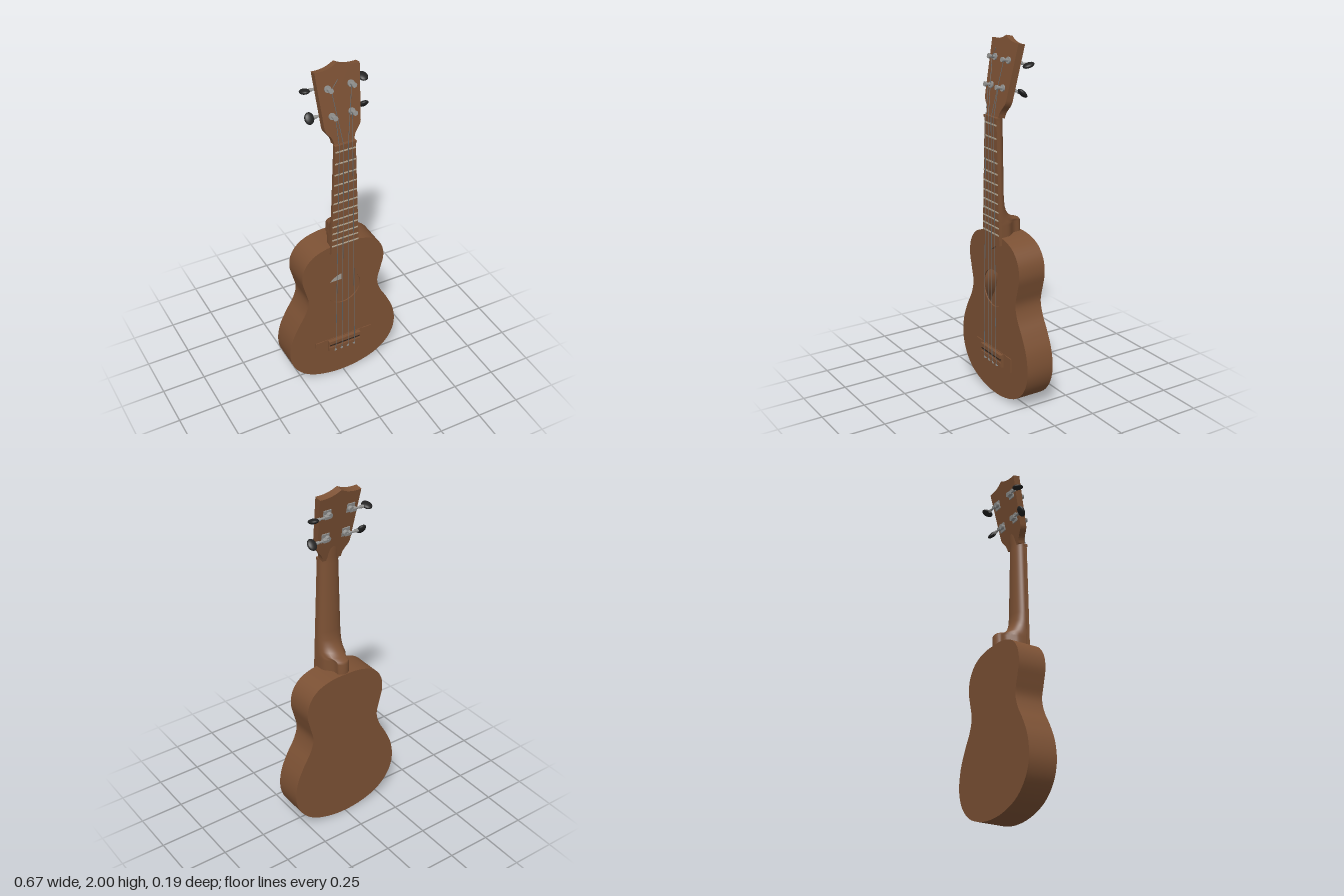
import * as THREE from 'three';
import { toCreasedNormals } from 'three/addons/utils/BufferGeometryUtils.js';

const mat = (name, color, side = THREE.FrontSide) => {
  const m = new THREE.MeshStandardMaterial({ color, side });
  m.name = name;
  return m;
};

export function createModel() {
  const wood = mat('wood', 0x7c5134);
  const darkSlot = mat('darkSlot', 0x33241b);
  const fretMetal = mat('fretMetal', 0xb8aa94);
  const steel = mat('steel', 0x939391);
  const black = mat('black', 0x222222);
  const stringGrey = mat('stringGrey', 0x6c7072);
  const paper = mat('paper', 0xa3a099, THREE.DoubleSide);

  const root = new THREE.Group();
  root.name = 'ukulele';
  const add = (parent, name, geo, material, x = 0, y = 0, z = 0) => {
    const m = new THREE.Mesh(geo, material);
    m.name = name;
    m.position.set(x, y, z);
    parent.add(m);
    return m;
  };
  const box = (w, h, d) => new THREE.BoxGeometry(w, h, d);
  const slab = (shape, depth, curveSegments = 24) =>
    toCreasedNormals(new THREE.ExtrudeGeometry(shape, { depth, bevelEnabled: false, curveSegments }), 0.5);
  // thin rod between two points
  const rod = (parent, name, a, b, r, material, sides = 6) => {
    const dir = b.clone().sub(a);
    const m = add(parent, name, new THREE.CylinderGeometry(r, r, dir.length(), sides), material);
    m.position.copy(a).addScaledVector(dir, 0.5);
    m.quaternion.setFromUnitVectors(new THREE.Vector3(0, 1, 0), dir.normalize());
    return m;
  };
  const V = (x, y, z) => new THREE.Vector3(x, y, z);

  // ---- hollow body: back, rim, and front with sound hole
  const half = [[0, 0.002], [0.12, 0.016], [0.23, 0.06], [0.303, 0.135], [0.335, 0.23], [0.323, 0.345],
    [0.28, 0.445], [0.235, 0.525], [0.215, 0.6], [0.232, 0.68], [0.25, 0.765], [0.235, 0.845],
    [0.185, 0.905], [0.1, 0.938], [0, 0.945]];
  const mirrored = half.slice(1, -1).reverse().map(([x, y]) => [-x, y]);
  const curve = new THREE.CatmullRomCurve3([...half, ...mirrored].map(([x, y]) => V(x, y, 0)), true);
  const outline = curve.getPoints(112).slice(0, -1).map((p) => new THREE.Vector2(p.x, p.y));
  const rim = new THREE.Shape(outline);
  rim.holes.push(new THREE.Path(outline.map((p) => new THREE.Vector2(p.x * 0.96, 0.45 + (p.y - 0.45) * 0.97))));
  const front = new THREE.Shape(outline);
  front.holes.push(new THREE.Path().absarc(0, 0.63, 0.105, 0, Math.PI * 2, true));
  add(root, 'bodyBack', slab(new THREE.Shape(outline), 0.008), wood, 0, 0, -0.097);
  add(root, 'bodySides', slab(rim, 0.147), wood, 0, 0, -0.089);
  add(root, 'bodyFront', slab(front, 0.007), wood, 0, 0, 0.058);
  add(root, 'insideLabel', new THREE.PlaneGeometry(0.135, 0.125), paper, 0, 0.611, -0.086);
  add(root, 'labelPatch', box(0.075, 0.03, 0.002), wood, 0, 0.652, -0.085);

  // ---- neck and heel lofted from rounded sections: [y, half width, back z, front z]
  const rows = [[0.93, 0.078, -0.094], [1.005, 0.077, -0.094], [1.016, 0.076, -0.085], [1.026, 0.076, -0.05],
    [1.045, 0.075, -0.02], [1.075, 0.074, 0.003], [1.11, 0.073, 0.015], [1.16, 0.071, 0.02],
    [1.56, 0.057, 0.022], [1.6, 0.057, 0.021], [1.64, 0.058, 0.016, 0.055], [1.7, 0.05, 0.012, 0.04]];
  const N = 32, pos = [], idx = [];
  rows.forEach(([y, w, back, frontZ = 0.064], r) => {
    for (let j = 0; j <= N; j++) {
      const t = (j / N) * Math.PI;
      const z = frontZ - (frontZ - back) * Math.sin(t);
      // the heel pinches in behind the neck
      const limit = 0.036 + 0.045 * THREE.MathUtils.smoothstep(z, -0.05, 0.03);
      pos.push(THREE.MathUtils.clamp(w * Math.cos(t), -limit, limit), y, z);
      if (r < rows.length - 1 && j < N) {
        const a = r * (N + 1) + j, c = a + N + 1;
        idx.push(a, a + 1, c, a + 1, c + 1, c);
      }
    }
  });
  const neckGeo = new THREE.BufferGeometry();
  neckGeo.setAttribute('position', new THREE.Float32BufferAttribute(pos, 3));
  neckGeo.setIndex(idx);
  neckGeo.computeVertexNormals();
  add(root, 'neckAndHeel', neckGeo, wood);

  // ---- fretboard with pointed end, nut and frets
  const fb = new THREE.Shape();
  fb.moveTo(-0.058, 1.585);
  [[-0.084, 0.9], [-0.035, 0.885], [0, 0.858], [0.035, 0.885], [0.084, 0.9], [0.058, 1.585]]
    .forEach(([x, y]) => fb.lineTo(x, y));
  add(root, 'fretboard', slab(fb, 0.018), wood, 0, 0, 0.064);
  add(root, 'nut', box(0.122, 0.014, 0.023), wood, 0, 1.582, 0.0745);
  for (let i = 0; i < 12; i++) {
    const y = 0.29 + 1.26 * Math.pow(2, -i / 12);
    const w = 0.058 + ((1.585 - y) / 0.685) * 0.026;
    add(root, 'fret', box(w * 2 - 0.004, 0.008, 0.004), fretMetal, 0, y, 0.082);
  }

  // ---- headstock, tilted back
  const head = new THREE.Group();
  head.name = 'headstock';
  head.position.set(0, 1.6, 0.068);
  head.rotation.x = -0.2;
  root.add(head);
  const hs = new THREE.Shape();
  hs.moveTo(-0.057, -0.01);
  hs.bezierCurveTo(-0.062, 0.045, -0.1, 0.045, -0.102, 0.09);
  hs.lineTo(-0.124, 0.381);
  hs.quadraticCurveTo(-0.05, 0.375, 0, 0.408);
  hs.quadraticCurveTo(0.05, 0.375, 0.124, 0.381);
  hs.lineTo(0.102, 0.09);
  hs.bezierCurveTo(0.1, 0.045, 0.062, 0.045, 0.057, -0.01);
  add(head, 'headPlate', slab(hs, 0.04), wood, 0, 0, -0.04);

  // ---- tuners: post, collar, gear, shaft and button
  const alongZ = (r, h) => new THREE.CylinderGeometry(r, r, h, 16).rotateX(Math.PI / 2);
  const tuner = (s, px, y, bx, turn) => {
    const t = new THREE.Group();
    t.name = 'tuner';
    head.add(t);
    add(t, 'collar', alongZ(0.018, 0.008), steel, s * px, y, 0.004);
    add(t, 'post', alongZ(0.008, 0.085), steel, s * px, y, 0);
    add(t, 'postCap', alongZ(0.013, 0.01), steel, s * px, y, 0.04);
    add(t, 'gearPlate', box(0.045, 0.05, 0.005), steel, s * (px + 0.008), y, -0.0425);
    add(t, 'gear', alongZ(0.015, 0.018), steel, s * px, y, -0.053);
    const sy = y - 0.004, sz = -0.056;
    add(t, 'wormHousing', box(0.03, 0.016, 0.02), steel, s * (px + 0.016), sy, sz);
    rod(t, 'shaft', V(s * px, sy, sz), V(s * (bx - 0.015), sy, sz), 0.006, steel, 10);
    rod(t, 'shaftCollar', V(s * (bx - 0.04), sy, sz), V(s * (bx - 0.022), sy, sz), 0.009, steel, 10);
    const b = add(t, 'button', new THREE.SphereGeometry(1, 20, 14), black, s * bx, sy, sz);
    b.scale.set(0.026, 0.013, 0.032);
    b.rotation.x = turn;
  };
  const posts = [[0.055, 0.143], [0.064, 0.287]];
  const turns = { '-1': [1.2, -0.05], 1: [-0.6, 0.5] };
  for (const s of [-1, 1]) posts.forEach(([px, y], i) => tuner(s, px, y, [0.152, 0.162][i], turns[s][i]));

  // ---- bridge
  add(root, 'bridgePlate', box(0.354, 0.08, 0.006), wood, 0, 0.235, 0.065);
  for (const s of [-1, 1]) add(root, 'bridgeWing', box(0.052, 0.08, 0.006), wood, s * 0.151, 0.235, 0.067);
  add(root, 'bridgeBase', box(0.2, 0.076, 0.015), wood, 0, 0.233, 0.073);
  add(root, 'bridgeFrontRidge', box(0.2, 0.022, 0.01), wood, 0, 0.26, 0.084);
  add(root, 'bridgeTieRidge', box(0.2, 0.022, 0.008), wood, 0, 0.214, 0.083);
  add(root, 'saddle', box(0.19, 0.007, 0.008), darkSlot, 0, 0.243, 0.084);

  // ---- strings from bridge over nut to posts
  head.updateMatrix();
  [[-1, 0.06, 0.038, 0], [-1, 0.02, 0.013, 1], [1, 0.02, 0.013, 1], [1, 0.06, 0.038, 0]].forEach(([s, bx, nx, k]) => {
    const [px, py] = posts[k];
    const nut = V(s * nx, 1.583, 0.087);
    const saddle = V(s * bx, 0.243, 0.091);
    const post = V(s * (px - 0.008), py, 0.026).applyMatrix4(head.matrix);
    rod(root, 'string', saddle, nut, 0.0018, stringGrey);
    rod(root, 'stringToPost', nut, post, 0.0018, stringGrey);
    rod(root, 'stringAtBridge', V(s * bx, 0.2, 0.086), saddle, 0.0018, stringGrey);
    add(root, 'stringKnot', box(0.012, 0.012, 0.01), steel, s * bx, 0.2, 0.084);
  });
  // loose end at the upper post
  rod(root, 'stringTail', V(-0.056, 1.885, 0.037), V(-0.02, 1.935, 0.035), 0.0016, stringGrey);
  return root;
}
